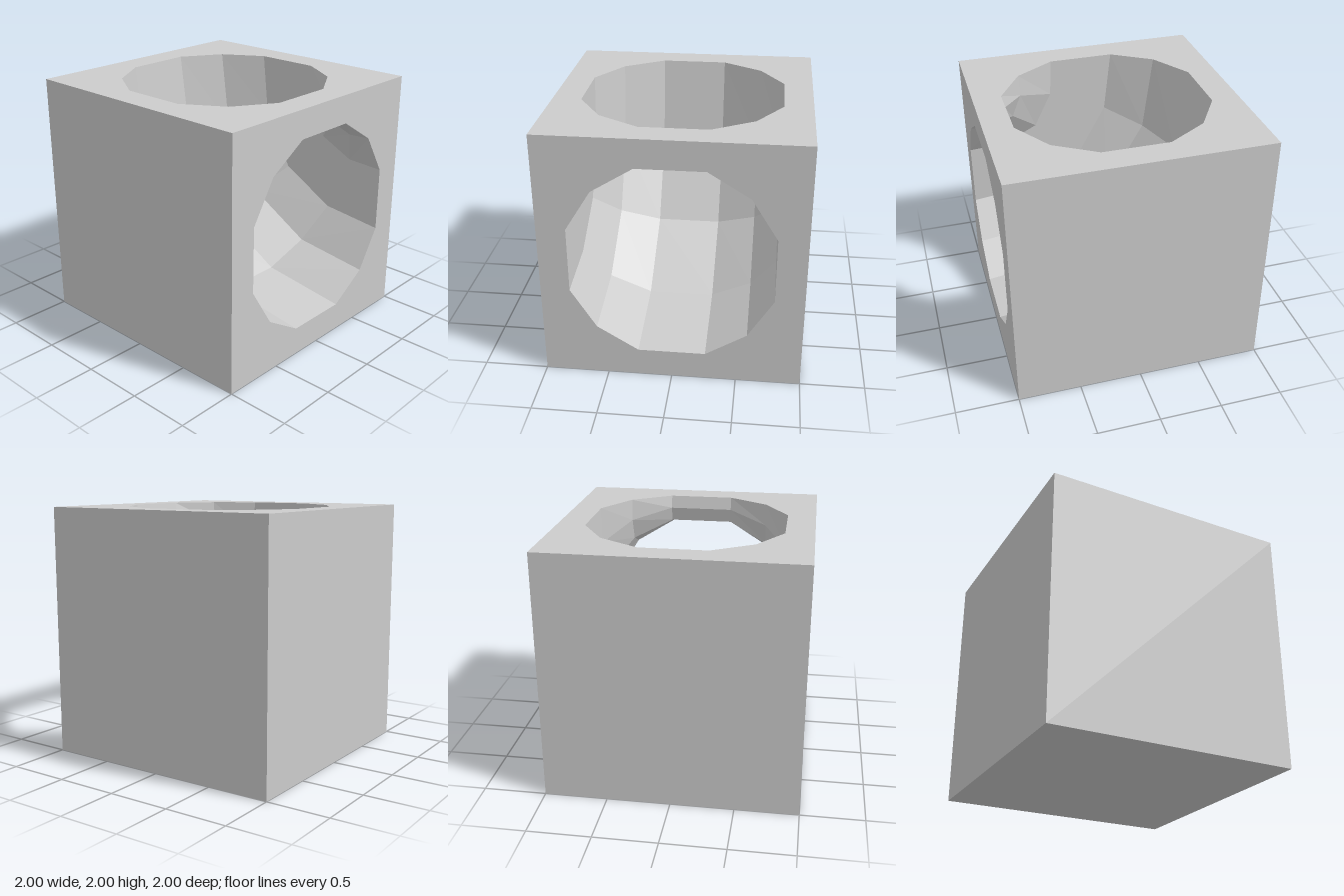
import * as THREE from 'three';
import { mergeGeometries } from 'three/addons/utils/BufferGeometryUtils.js';

// Twelve-sided bore outline: three corners turned through four quarters
function boreOutline() {
  const points = [];
  let quarter = [[0.775, 0.26], [0.578, 0.578], [0.26, 0.775]];
  for (let i = 0; i < 4; i++) {
    points.push(...quarter.map(([x, y]) => new THREE.Vector2(x, y)));
    quarter = quarter.map(([x, y]) => [-y, x]);
  }
  return points;
}

// One square face of the cube, optionally pierced by the bore
function panel(rotX, rotY, pierced) {
  const shape = new THREE.Shape([[-1, -1], [1, -1], [1, 1], [-1, 1]].map(([x, y]) => new THREE.Vector2(x, y)));
  if (pierced) shape.holes.push(new THREE.Path(boreOutline()));
  return new THREE.ShapeGeometry(shape)
    .translate(0, 0, 1)
    .rotateX(rotX)
    .rotateY(rotY)
    .translate(0, 1, 0);
}

// Inward-facing elbow swept from the top face round to the +x face
function elbow() {
  const section = boreOutline();
  const n = section.length;
  const bendRadii = [1, 1.043, 1.083, 1.043, 1];
  const positions = [];
  const index = [];
  bendRadii.forEach((radius, k) => {
    const angle = (k / (bendRadii.length - 1)) * Math.PI / 2;
    for (const p of section) {
      const d = radius + p.x;
      positions.push(1 - d * Math.cos(angle), 2 - d * Math.sin(angle), p.y);
    }
    if (k === bendRadii.length - 1) return;
    for (let j = 0; j < n; j++) {
      const a = k * n + j;
      const b = k * n + (j + 1) % n;
      index.push(a, b, a + n, b, b + n, a + n);
    }
  });
  const geometry = new THREE.BufferGeometry();
  geometry.setAttribute('position', new THREE.Float32BufferAttribute(positions, 3));
  geometry.setIndex(index);
  const flat = geometry.toNonIndexed();
  flat.computeVertexNormals();
  return flat;
}

export function createModel() {
  const model = new THREE.Group();
  model.name = 'elbowBlock';
  const material = new THREE.MeshStandardMaterial({ color: 0xcccccc, flatShading: true });
  const q = Math.PI / 2;

  // Outer cube: open on top and on the +x side
  const shell = new THREE.Mesh(mergeGeometries([
    panel(0, 0, false),
    panel(0, q, true),
    panel(0, 2 * q, false),
    panel(0, 3 * q, false),
    panel(-q, 0, true),
    panel(q, 0, false),
  ]), material);
  shell.name = 'cubeShell';

  // Curved passage joining the two openings
  const passage = new THREE.Mesh(elbow(), material);
  passage.name = 'elbowPassage';

  model.add(shell, passage);
  return model;
}
